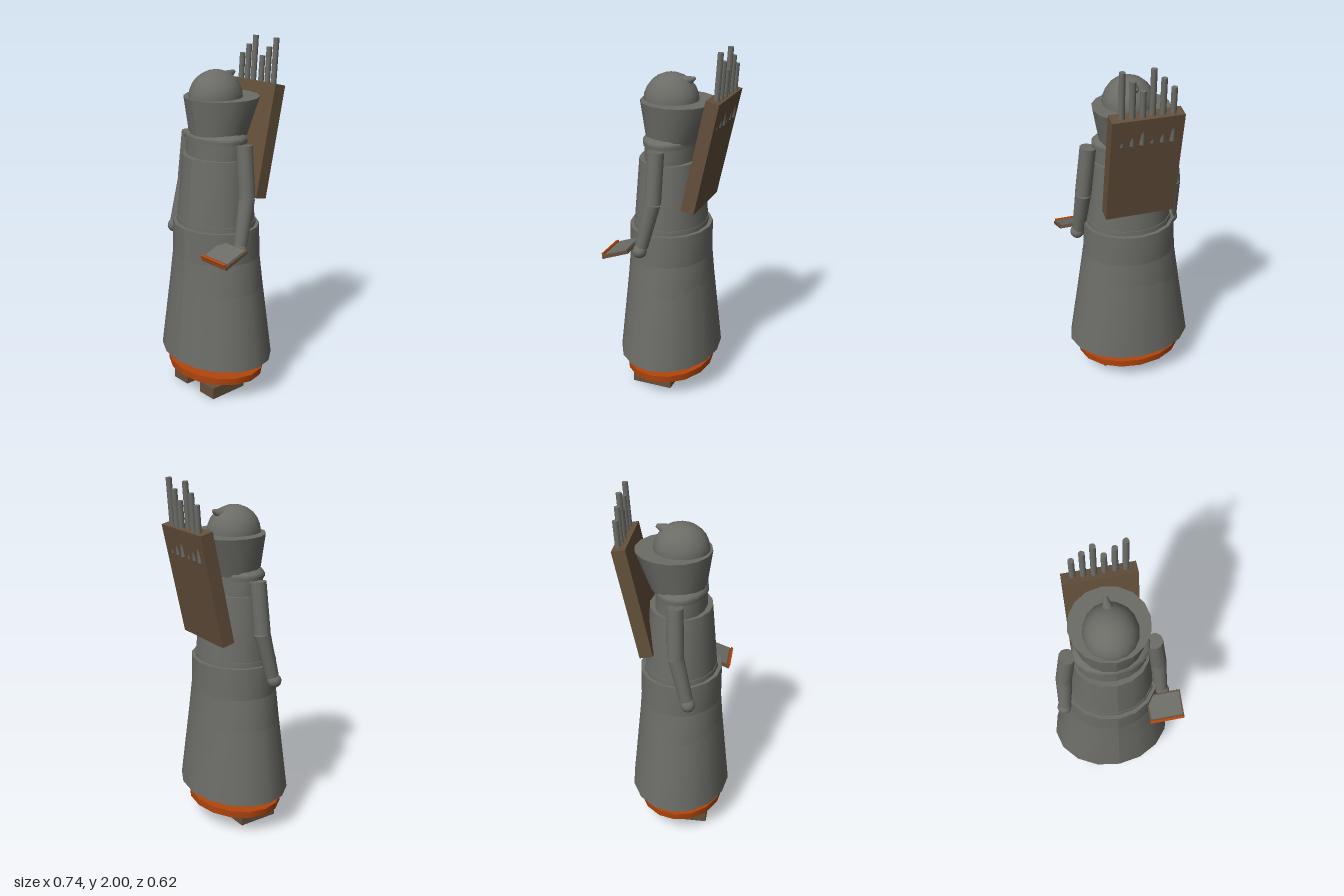
import * as THREE from 'three';

const CX = -0.01, CZ = 0.025; // axis of the figure

const paint = (name, color) => {
  const m = new THREE.MeshStandardMaterial({ color });
  m.name = name;
  return m;
};

export function createModel() {
  const grey = paint('stone grey', 0x6c6c67);
  const brown = paint('wood brown', 0x64503b);
  const orange = paint('burnt orange', 0xb2450d);

  const model = new THREE.Group();
  model.name = 'robedFigure';

  const add = (name, geo, mat, x = 0, y = 0, z = 0, parent = model) => {
    const mesh = new THREE.Mesh(geo, mat);
    mesh.name = name;
    mesh.position.set(x, y, z);
    parent.add(mesh);
    return mesh;
  };

  // Closed oval drum between two heights, with its own x and z radii at each end
  const drum = (name, mat, y0, rx0, rz0, y1, rx1, rz1, z0 = CZ, z1 = z0) => {
    const geo = new THREE.CylinderGeometry(1, 1, 1, 16);
    const p = geo.attributes.position;
    for (let i = 0; i < p.count; i++) {
      const t = p.getY(i) + 0.5;
      p.setXYZ(i,
        p.getX(i) * THREE.MathUtils.lerp(rx0, rx1, t),
        THREE.MathUtils.lerp(y0, y1, t),
        p.getZ(i) * THREE.MathUtils.lerp(rz0, rz1, t) + THREE.MathUtils.lerp(z0, z1, t));
    }
    geo.computeVertexNormals();
    return add(name, geo, mat, CX);
  };

  // Round rod between two points
  const rod = (name, mat, a, b, ra, rb, sides = 12) => {
    const from = new THREE.Vector3(...a), to = new THREE.Vector3(...b);
    const dir = to.clone().sub(from);
    const mesh = add(name, new THREE.CylinderGeometry(rb, ra, dir.length(), sides), mat);
    mesh.position.copy(from).add(to).multiplyScalar(0.5);
    mesh.quaternion.setFromUnitVectors(new THREE.Vector3(0, 1, 0), dir.normalize());
    return mesh;
  };

  // Feet and ankles
  for (const s of [-1, 1]) {
    const side = s > 0 ? 'left' : 'right';
    add(side + 'Foot', new THREE.BoxGeometry(0.117, 0.068, 0.235), brown, CX + s * 0.118, 0.034, 0.082);
    rod(side + 'Ankle', brown, [CX + s * 0.118, 0.06, CZ], [CX + s * 0.118, 0.13, CZ], 0.066, 0.066);
  }

  // Hem disc with a shallow belly, and the inner robe above it
  drum('hemBelly', orange, 0.097, 0.14, 0.11, 0.112, 0.3, 0.24, 0.03);
  drum('hemDisc', orange, 0.112, 0.308, 0.248, 0.153, 0.312, 0.25, 0.03);
  drum('innerRobe', grey, 0.15, 0.206, 0.17, 0.3, 0.206, 0.17);

  // Skirt, hips and torso
  drum('skirt', grey, 0.215, 0.36, 0.286, 0.82, 0.265, 0.226);
  drum('hipBand', grey, 0.64, 0.294, 0.243, 0.82, 0.266, 0.229);
  drum('hips', grey, 0.82, 0.266, 0.229, 1.0, 0.259, 0.229);
  drum('waist', grey, 0.99, 0.242, 0.207, 1.027, 0.24, 0.205);
  drum('torso', grey, 1.025, 0.235, 0.202, 1.385, 0.203, 0.172);
  drum('chest', grey, 1.38, 0.192, 0.142, 1.475, 0.19, 0.14);
  drum('collar', grey, 1.472, 0.206, 0.146, 1.492, 0.208, 0.146);

  // Domed shoulders, hood and head
  const dome = add('shoulders',
    new THREE.SphereGeometry(1, 16, 6, 0, Math.PI * 2, 0, Math.PI / 2), grey, CX, 1.49, CZ);
  dome.scale.set(0.206, 0.05, 0.145);
  drum('hood', grey, 1.49, 0.165, 0.15, 1.703, 0.209, 0.207, 0.01, -0.017);
  const head = add('head', new THREE.SphereGeometry(1, 16, 12), grey, CX, 1.699, CZ);
  head.scale.set(0.142, 0.149, 0.152);
  rod('topKnot', grey, [CX, 1.803, -0.05], [CX, 1.826, -0.108], 0.034, 0.009);

  // Arms and hands
  for (const s of [-1, 1]) {
    const side = s > 0 ? 'left' : 'right';
    const shoulder = [CX + s * 0.228, 1.475, 0.022];
    const elbow = [CX + s * 0.26, 1.195, 0.03];
    const wrist = [CX + s * 0.276, 0.945, 0.09];
    rod(side + 'UpperArm', grey, shoulder, elbow, 0.045, 0.046);
    rod(side + 'Forearm', grey, elbow, wrist, 0.045, 0.037);
    add(side + 'Hand', new THREE.SphereGeometry(0.04, 12, 8), grey, CX + s * 0.283, 0.917, 0.1);
  }

  // Leaning back board
  const board = add('backBoard', new THREE.BoxGeometry(0.382, 0.63, 0.075), brown, CX, 1.448, -0.206);
  board.rotation.x = -0.213;

  // Two runs of three rising pipes set into the board
  const lean = 0.07;
  for (let i = 0; i < 6; i++) {
    const x = CX + (i - 2.5) * 0.0535;
    const top = 1.894 + (i % 3) * 0.053;
    rod('pipe' + (i + 1), grey, [x, 1.6, -0.293 + (top - 1.6) * lean], [x, top, -0.293], 0.016, 0.016, 10);
  }

  // Tilted book held in the left hand
  const book = new THREE.Group();
  book.name = 'book';
  book.position.set(0.267, 0.916, 0.204);
  book.rotation.x = 0.36;
  model.add(book);
  add('cover', new THREE.BoxGeometry(0.198, 0.018, 0.16), brown, 0, 0, 0, book);
  add('page', new THREE.BoxGeometry(0.18, 0.006, 0.132), grey, 0, 0.011, -0.006, book);
  add('frontEdge', new THREE.BoxGeometry(0.198, 0.012, 0.014), brown, 0, -0.004, 0.076, book);
  add('ribbon', new THREE.BoxGeometry(0.19, 0.016, 0.014), orange, -0.003, 0.013, 0.075, book);
  add('lowerRibbon', new THREE.BoxGeometry(0.19, 0.006, 0.004), orange, -0.003, -0.004, 0.082, book);

  return model;
}
